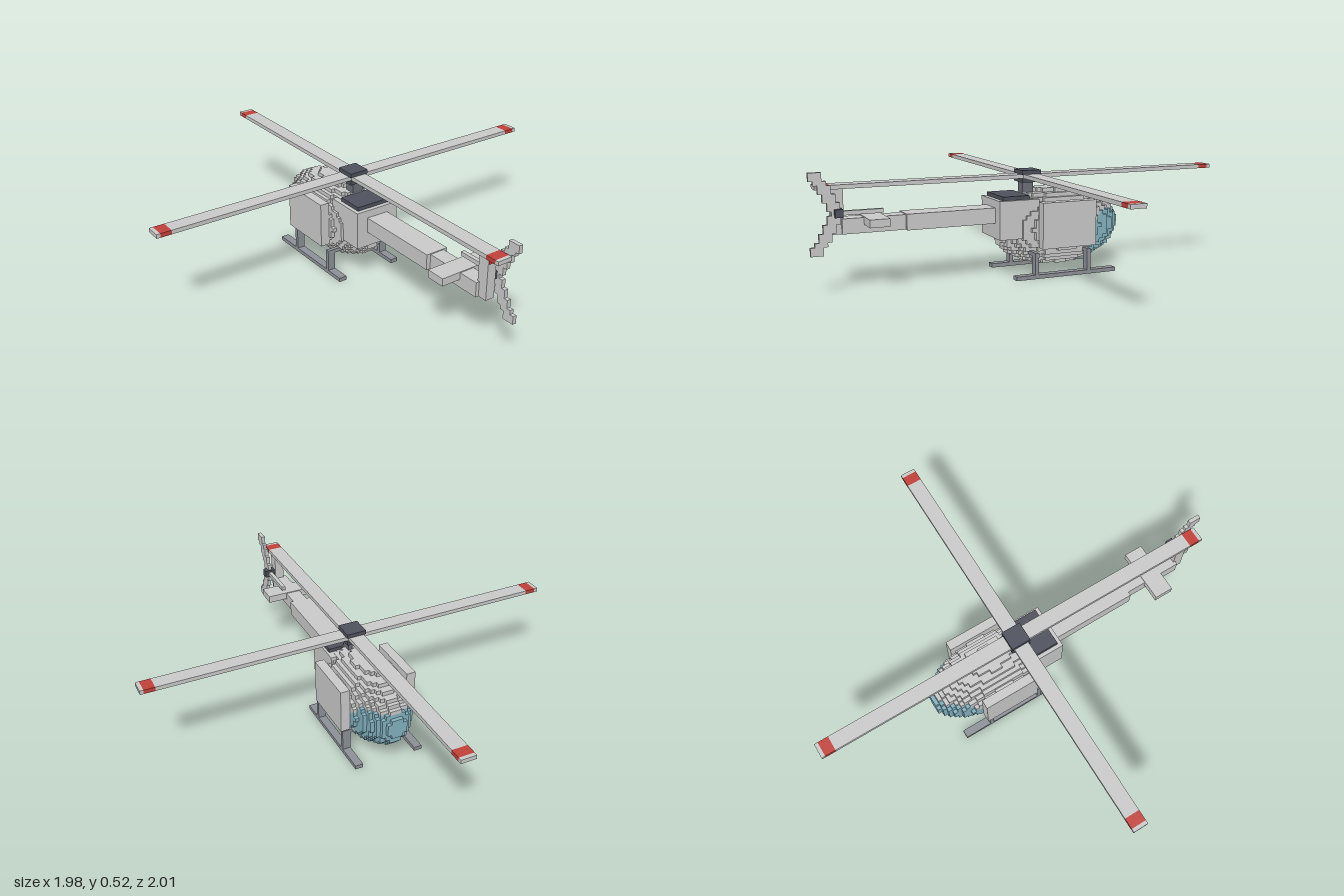
import * as THREE from 'three';

const V = 2 / 107;          // cell size of the stepped shapes
const CX = -0.006, CZ = -0.01; // rotor axis

const paint = (name, color) => {
  const m = new THREE.MeshStandardMaterial({ color });
  m.name = name;
  return m;
};

// Stepped solid made of cells: only faces on the outside are built.
// solid(i,j,k) tells which cells are filled, pick(i,j,k) which belong to this mesh.
function cells(n, solid, pick = () => true) {
  const pos = [];
  for (let i = -n[0]; i <= n[0]; i++)
    for (let j = -n[1]; j <= n[1]; j++)
      for (let k = -n[2]; k <= n[2]; k++) {
        if (!solid(i, j, k) || !pick(i, j, k)) continue;
        for (let a = 0; a < 3; a++)
          for (const s of [1, -1]) {
            const next = [i, j, k];
            next[a] += s;
            if (solid(...next)) continue;
            const corner = (u, w) => {
              const p = [i, j, k];
              p[a] += s * 0.5;
              p[(a + 1) % 3] += u * 0.5;
              p[(a + 2) % 3] += w * 0.5;
              return p.map(c => c * V);
            };
            const q = [corner(-1, -1), corner(1, -1), corner(1, 1), corner(-1, 1)];
            if (s < 0) q.reverse();
            for (const t of [0, 1, 2, 0, 2, 3]) pos.push(...q[t]);
          }
      }
  const g = new THREE.BufferGeometry();
  g.setAttribute('position', new THREE.Float32BufferAttribute(pos, 3));
  g.computeVertexNormals();
  return g;
}

export function createModel() {
  const model = new THREE.Group();
  const body = paint('light grey', 0xc9c9ca);
  const glass = paint('window blue', 0x83b1c0);
  const metal = paint('skid grey', 0x8c9097);
  const steel = paint('mast grey', 0x6c6f78);
  const dark = paint('dark grey', 0x4e515c);
  const red = paint('tip red', 0xc0413a);

  const add = (name, geo, mat, x = 0, y = 0, z = 0) => {
    const m = new THREE.Mesh(geo, mat);
    m.name = name;
    m.position.set(x, y, z);
    model.add(m);
    return m;
  };
  // Box from its two extreme corners
  const box = (name, mat, x0, x1, y0, y1, z0, z1) =>
    add(name, new THREE.BoxGeometry(x1 - x0, y1 - y0, z1 - z0), mat,
      (x0 + x1) / 2, (y0 + y1) / 2, (z0 + z1) / 2);

  // Egg-shaped cabin with a glazed nose
  const hy = 0.22, hz = -0.15;
  const hull = (i, j, k) => (i / 8.3) ** 2 + (j / 9.7) ** 2 + (k / 16.8) ** 2 <= 1;
  const glazed = (i, j, k) => {
    const y = hy + j * V, z = hz + k * V;
    return z < -0.275 && y > 0.06 && y < 0.285 - Math.max(0, z + 0.34);
  };
  add('cabin', cells([9, 10, 17], hull, (i, j, k) => !glazed(i, j, k)), body, CX, hy, hz);
  add('noseWindow', cells([9, 10, 17], hull, glazed), glass, CX, hy, hz);

  // Rear fuselage, engine cover, side doors
  box('rearFuselage', body, -0.116, 0.105, 0.18, 0.358, -0.02, 0.175);
  box('engineCover', dark, -0.098, 0.094, 0.345, 0.376, 0.025, 0.155);
  for (const s of [-1, 1])
    box('sideDoor', body, CX + s * 0.163 - 0.022, CX + s * 0.163 + 0.022, 0.138, 0.35, -0.275, -0.005);

  // Tail boom, fin and stabilizer
  box('tailBoomFront', body, -0.06, 0.05, 0.25, 0.322, 0.17, 0.59);
  box('tailBoomRear', body, -0.04, 0.032, 0.251, 0.318, 0.59, 0.87);
  box('tailFin', body, -0.024, 0.02, 0.25, 0.446, 0.86, 0.912);
  box('finLight', red, -0.024, 0.02, 0.417, 0.438, 0.912, 0.918);
  box('stabilizer', body, -0.133, 0.127, 0.287, 0.322, 0.685, 0.775);

  // Three-bladed tail rotor
  const bladeCells = (i, j, k) => {
    if (i !== 0) return false;
    return [0, 1, 2].some(n => {
      const a = Math.PI + n * Math.PI * 2 / 3;
      const along = k * Math.cos(a) + j * Math.sin(a);
      const across = -k * Math.sin(a) + j * Math.cos(a);
      return along >= 0 && along < 11 && Math.abs(across) <= 1.05 + (n ? 0.25 : -0.1);
    });
  };
  add('tailRotorBlades', cells([1, 12, 12], bladeCells), body, 0.043, 0.346, 0.89);
  box('tailRotorHub', dark, 0.02, 0.071, 0.33, 0.365, 0.872, 0.907);

  // Mast and main rotor hub
  box('mast', steel, CX - 0.026, CX + 0.026, 0.33, 0.43, CZ - 0.016, CZ + 0.036);
  const disc = cells([4, 1, 4], (i, j, k) => j === 0 && Math.hypot(i, k) < 3);
  for (const y of [0.437, 0.474]) add('rotorHubPlate', disc, dark, CX, y, CZ);
  add('rotorHubCore', cells([4, 1, 4], (i, j, k) => j === 0 && Math.hypot(i, k) < 2.1), dark, CX, 0.4555, CZ);

  // Four main blades, each with a red band near the tip
  const parts = [['mainBlade', 0.02, 0.925, body], ['bladeBand', 0.925, 0.975, red], ['bladeTip', 0.975, 0.992, body]];
  for (let n = 0; n < 4; n++) {
    const blade = new THREE.Group();
    blade.name = 'rotorBlade';
    blade.position.set(CX, 0.4555, CZ);
    blade.rotation.y = n * Math.PI / 2;
    for (const [name, a, b, mat] of parts) {
      const m = new THREE.Mesh(new THREE.BoxGeometry(b - a, 0.0186, 0.071), mat);
      m.name = name;
      m.position.x = (a + b) / 2;
      blade.add(m);
    }
    model.add(blade);
  }

  // Landing skids with struts and cross bars
  for (const s of [-1, 1]) {
    const x = CX + s * 0.149;
    box('skid', metal, x - 0.019, x + 0.019, 0, 0.0187, -0.388, 0.117);
    for (const z of [0.016, -0.248])
      box('skidStrut', metal, x - 0.019, x + 0.019, 0.0187, 0.102, z - 0.0093, z + 0.0093);
  }
  for (const z of [0.016, -0.248])
    box('crossBar', metal, CX - 0.168, CX + 0.168, 0.102, 0.12, z - 0.0093, z + 0.0093);

  return model;
}
